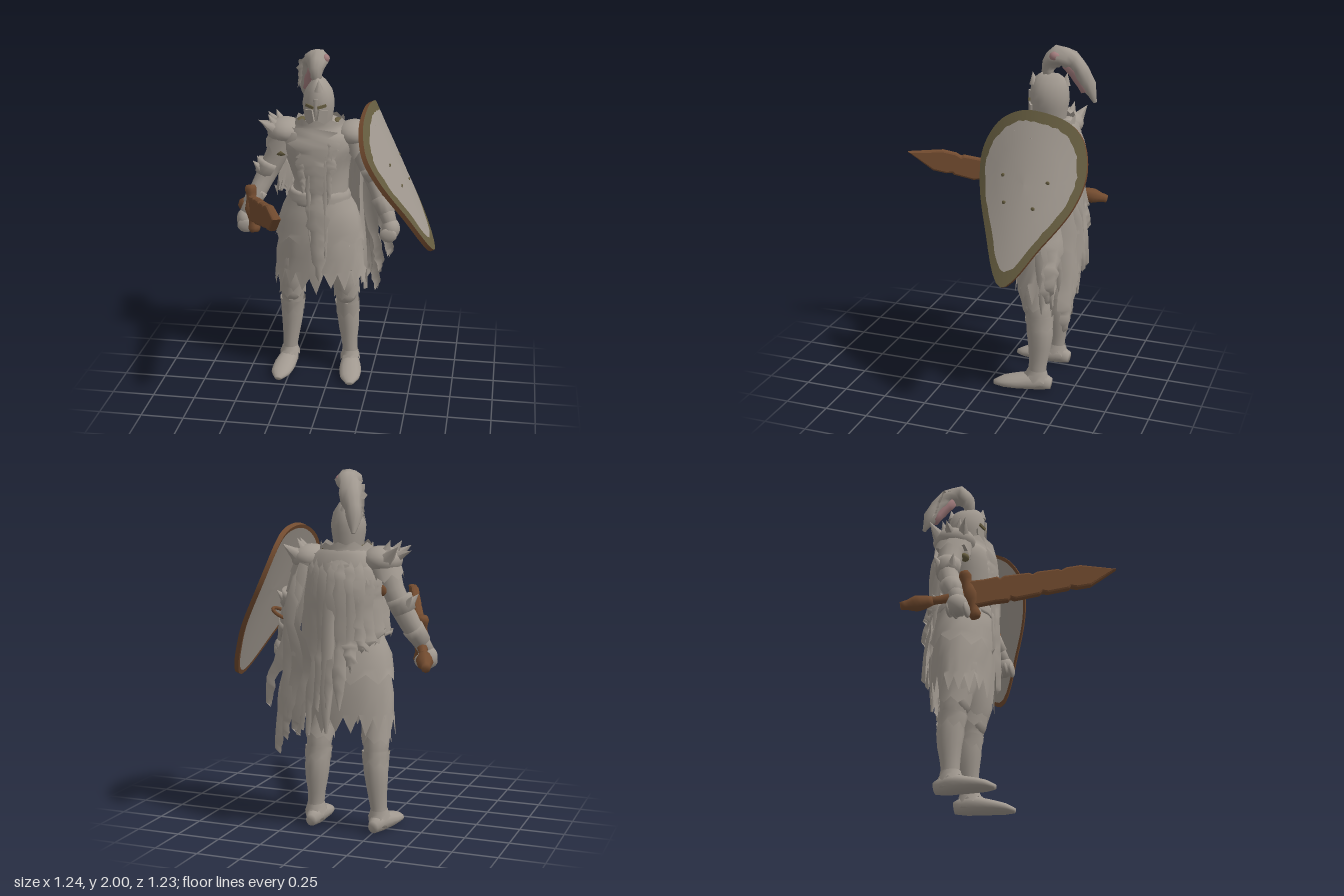
import * as THREE from 'three';

const V = (x, y, z) => new THREE.Vector3(x, y, z);
const CX = -0.08; // body axis

export function createModel() {
  const root = new THREE.Group();
  root.name = 'shieldKnight';
  const mat = (name, color) => new THREE.MeshStandardMaterial({ name, color, side: THREE.DoubleSide });
  const stone = mat('paleStone', 0xa19990), olive = mat('oldBrass', 0x665d40);
  const wood = mat('rustBrown', 0x724b2f), pink = mat('dustyPink', 0xa07b7c);

  let seed = 7;
  const rnd = () => (seed = (seed * 16807) % 2147483647) / 2147483647;

  function add(name, geo, material, parent = root) {
    const m = new THREE.Mesh(geo, material);
    m.name = name;
    parent.add(m);
    return m;
  }

  // Surface from rows x cols points; wrap closes each row into a ring
  function grid(rows, cols, fn, wrap) {
    const pos = [], idx = [];
    for (let i = 0; i < rows; i++) for (let j = 0; j < cols; j++) pos.push(...fn(i, j).toArray());
    for (let i = 0; i < rows - 1; i++) for (let j = 0; j < (wrap ? cols : cols - 1); j++) {
      const k = (j + 1) % cols, a = i * cols + j, b = i * cols + k;
      idx.push(a, b, b + cols, a, b + cols, a + cols);
    }
    const g = new THREE.BufferGeometry();
    g.setAttribute('position', new THREE.Float32BufferAttribute(pos, 3));
    g.setIndex(idx);
    g.computeVertexNormals();
    return g;
  }

  // Elliptical rings [x, y, z, rx, rz] swept along their centres
  function limb(pts, { n = 14, caps = true, hem = 0, rough = 0.06 } = {}) {
    const path = new THREE.CatmullRomCurve3(pts.map(p => V(p[0], p[1], p[2])));
    const radii = new THREE.CatmullRomCurve3(pts.map(p => V(p[3], p[4] ?? p[3], 0)));
    const steps = (pts.length - 1) * 2, rings = [];
    for (let i = 0; i <= steps; i++) {
      const c = path.getPoint(i / steps), r = radii.getPoint(i / steps), t = path.getTangent(i / steps);
      const u = V(1, 0, 0).addScaledVector(t, -t.x).normalize();
      rings.push({ c, u, v: t.clone().cross(u), rx: Math.max(r.x, 0.002), ry: Math.max(r.y, 0.002) });
    }
    if (caps) {
      rings.unshift({ ...rings[0], rx: 0, ry: 0 });
      rings.push({ ...rings[rings.length - 1], rx: 0, ry: 0 });
    }
    return grid(rings.length, n, (i, j) => {
      const R = rings[i], a = j / n * Math.PI * 2, k = 1 + (rnd() - 0.5) * rough;
      const p = R.c.clone().addScaledVector(R.u, Math.cos(a) * R.rx * k).addScaledVector(R.v, Math.sin(a) * R.ry * k);
      if (hem && i === rings.length - 1) p.y += (j % 2 ? 0.5 + 0.5 * rnd() : -rnd() * 0.5) * hem;
      return p;
    }, true);
  }

  // Ragged cloth strip through [x, y, z, width], facing angle th about y
  function ribbon(pts, th = 0, bulge = 0.02, steps = 16) {
    const path = new THREE.CatmullRomCurve3(pts.map(p => V(p[0], p[1], p[2])));
    const wid = new THREE.CatmullRomCurve3(pts.map(p => V(p[3], 0, 0)));
    return grid(steps + 1, 3, (i, j) => {
      const p = path.getPoint(i / steps), s = j - 1;
      const w = wid.getPoint(i / steps).x * (s ? 0.3 + rnd() * 0.35 : 0), b = s ? 0 : bulge;
      p.x += Math.cos(th) * s * w + Math.sin(th) * b;
      p.z += -Math.sin(th) * s * w + Math.cos(th) * b;
      if (s) p.y -= rnd() * 0.035;
      return p;
    });
  }

  function spike(name, at, dir, len, r) {
    const d = V(...dir).normalize();
    const m = add(name, new THREE.ConeGeometry(r, len, 6), stone);
    m.position.set(...at).addScaledVector(d, len / 2);
    m.quaternion.setFromUnitVectors(V(0, 1, 0), d);
  }
  function ball(name, at, scale, material = stone) {
    const m = add(name, new THREE.SphereGeometry(1, 14, 10), material);
    m.position.set(...at);
    m.scale.set(...scale);
  }

  // Torso and layered ragged skirt
  add('torso', limb([[CX, 0.95, -0.29, 0.19, 0.15], [CX, 1.1, -0.29, 0.175, 0.145], [CX + 0.01, 1.22, -0.29, 0.16, 0.14],
    [CX, 1.36, -0.29, 0.19, 0.16], [CX, 1.47, -0.3, 0.235, 0.17], [CX, 1.54, -0.31, 0.19, 0.145], [CX, 1.575, -0.3, 0.08, 0.08]], { n: 20 }), stone);
  add('skirt', limb([[CX, 1.14, -0.29, 0.18, 0.145], [CX, 0.95, -0.29, 0.235, 0.165], [CX, 0.78, -0.295, 0.262, 0.17],
    [CX + 0.005, 0.6, -0.295, 0.28, 0.17]], { n: 40, caps: false, hem: 0.1 }), stone);
  add('tassets', limb([[CX, 1.13, -0.29, 0.19, 0.155], [CX, 1.0, -0.29, 0.245, 0.175], [CX, 0.87, -0.295, 0.272, 0.185]],
    { n: 20, caps: false, hem: 0.05 }), stone);
  add('belt', limb([[CX, 1.1, -0.29, 0.19, 0.16], [CX, 1.14, -0.29, 0.188, 0.16], [CX, 1.18, -0.29, 0.17, 0.15]], { n: 20 }), stone);

  // Standing collar with a brass lining showing at one side
  add('collar', limb([[CX, 1.5, -0.3, 0.2, 0.165], [CX, 1.56, -0.3, 0.15, 0.14], [CX, 1.6, -0.3, 0.142, 0.135]],
    { n: 20, caps: false, rough: 0.03, hem: 0.02 }), stone);
  ball('collarLining', [-0.19, 1.585, -0.29], [0.024, 0.016, 0.07], olive);
  ball('collarLining', [0.015, 1.575, -0.36], [0.02, 0.014, 0.045], olive);

  // Torn tabard on the chest
  add('tabard', ribbon([[-0.095, 1.58, -0.15, 0.24], [-0.09, 1.45, -0.12, 0.24], [-0.075, 1.32, -0.118, 0.18], [-0.07, 1.2, -0.118, 0.12],
    [-0.07, 1.05, -0.11, 0.12], [-0.06, 0.85, -0.105, 0.1], [-0.055, 0.66, -0.105, 0.01]], 0, 0.025, 26), stone);
  for (const [x, y, w] of [[-0.15, 1.2, 0.08], [0.0, 1.15, 0.08], [-0.11, 0.9, 0.06], [-0.02, 0.8, 0.06]])
    add('tabardTatter', ribbon([[x * 0.8, 1.5, -0.14, w * 1.3], [x, 1.35, -0.125, w], [x, y, -0.12, 0.01]]), stone);

  // Torn cloak on the back: long on the shield side, short on the sword side
  for (let k = 0; k <= 11; k++) {
    const th = Math.PI - 1.35 + k * 0.245, s = Math.sin(th), c = Math.cos(th);
    const end = k < 7 ? 0.6 + k * 0.015 + (rnd() - 0.5) * 0.2 : 1.0 + (k - 7) * 0.05 + (rnd() - 0.5) * 0.12;
    const at = (y, r, w) => [CX + s * (0.2 + r), y, -0.3 + c * (0.14 + r), w];
    add('cloakTatter', ribbon([at(1.55, -0.02, 0.1), at(1.42, 0.03, 0.12), at(Math.max(1.1, end + 0.15), 0.035, 0.11),
      at((1.1 + end) / 2, 0.06, 0.08), at(end, 0.07, 0.01)], th, 0.025), stone);
  }
  // Bunched roll of cloth down the middle of the back
  add('cloakRoll', limb([[-0.06, 1.5, -0.43, 0.07, 0.04], [-0.05, 1.3, -0.46, 0.05, 0.035], [-0.04, 1.05, -0.475, 0.045, 0.035],
    [-0.03, 0.8, -0.485, 0.04, 0.03], [-0.03, 0.58, -0.49, 0.008]], { n: 8, rough: 0.3 }), stone);
  for (const [x, z, y] of [[0.24, -0.5, 0.48], [0.32, -0.44, 0.72], [0.19, -0.51, 0.56], [0.27, -0.4, 0.64], [0.14, -0.5, 0.6]])
    add('trailingTatter', ribbon([[0.13, 1.5, -0.4, 0.1], [0.18, 1.25, z + 0.02, 0.14], [x - 0.06, 0.98, z, 0.13], [x - 0.01, y + 0.16, z, 0.1],
      [x, y + 0.06, z, 0.07], [x, y, z, 0.012]], 2.5, 0.03), stone);

  // Helm with crest points, eye slits and nose guard
  const hx = -0.085;
  add('helm', limb([[hx, 1.54, -0.29, 0.07, 0.085], [hx, 1.62, -0.29, 0.083, 0.1], [hx, 1.7, -0.29, 0.094, 0.112],
    [hx, 1.77, -0.29, 0.078, 0.106], [hx, 1.82, -0.29, 0.043, 0.085], [hx, 1.845, -0.29, 0.01, 0.05]], { n: 18, rough: 0.02 }), stone);
  for (const s of [-1, 1]) {
    const eye = add('eyeSlit', new THREE.BoxGeometry(0.052, 0.016, 0.0095), olive);
    eye.position.set(hx + s * 0.036, 1.695, -0.182);
    eye.rotation.set(0, s * 0.4, s * 0.25);
    const cheek = add('cheekPlate', new THREE.BoxGeometry(0.055, 0.11, 0.012), stone);
    cheek.position.set(hx + s * 0.034, 1.62, -0.192);
    cheek.rotation.set(0.1, s * 0.5, s * -0.2);
    spike('helmCrestPoint', [hx + s * 0.015, 1.78, -0.29 + s * 0.085], [0, 1, s * 0.15], 0.07, 0.03);
  }
  spike('noseGuard', [hx, 1.74, -0.18], [0, -1, 0.08], 0.14, 0.016);
  const mouth = add('mouthSlit', new THREE.BoxGeometry(0.03, 0.03, 0.009), olive);
  mouth.position.set(hx, 1.58, -0.184);

  // Plume arching back, with dusty patches
  const plume = [[-0.09, 1.81, -0.28, 0.022], [-0.1, 1.89, -0.275, 0.042], [-0.1, 1.94, -0.33, 0.068, 0.058], [-0.13, 1.915, -0.4, 0.06, 0.05],
    [-0.165, 1.84, -0.45, 0.055, 0.042], [-0.19, 1.76, -0.485, 0.045, 0.038], [-0.2, 1.67, -0.52, 0.01]];
  add('plume', limb(plume, { n: 12, rough: 0.35 }), stone);
  add('plumeUnderside', limb(plume.slice(3, 6).map(p => [p[0] + 0.01, p[1] - 0.022, p[2] + 0.018, p[3] * 0.68]), { n: 8, rough: 0.2 }), pink);
  ball('plumeTuft', [-0.05, 1.945, -0.325], [0.024, 0.026, 0.03], pink);
  add('plumeStrand', ribbon([[-0.13, 1.96, -0.38, 0.07], [-0.2, 1.91, -0.42, 0.06], [-0.215, 1.82, -0.45, 0.05], [-0.235, 1.76, -0.46, 0.01]], 0.5), stone);

  // Legs, knee guards and feet
  for (const s of [-1, 1]) {
    const X = d => CX + s * d;
    add('leg', limb([[X(0.14), 0.85, -0.28, 0.085, 0.11], [X(0.16), 0.62, -0.27, 0.08, 0.1], [X(0.168), 0.5, -0.295, 0.072, 0.08], [X(0.17), 0.44, -0.3, 0.066, 0.074],
      [X(0.175), 0.35, -0.31, 0.068, 0.076], [X(0.183), 0.2, -0.305, 0.05, 0.056], [X(0.19), 0.1, -0.3, 0.044, 0.05], [X(0.19), 0.03, -0.31, 0.05, 0.06]]), stone);
    ball('kneeGuard', [X(0.168), 0.53, -0.25], [0.066, 0.075, 0.05]);
    spike('greaveRidge', [X(0.172), 0.47, -0.245], [s * 0.05, -1, -0.12], 0.32, 0.028);
    add('thighPlate', limb([[X(0.162), 0.64, -0.275, 0.078, 0.098], [X(0.168), 0.51, -0.29, 0.083, 0.092]], { caps: false, hem: 0.035 }), stone);
    add('greaveTop', limb([[X(0.17), 0.46, -0.3, 0.077, 0.083], [X(0.173), 0.38, -0.308, 0.072, 0.079]], { caps: false, hem: 0.03 }), stone);
    add('anklePlate', limb([[X(0.19), 0.13, -0.3, 0.048, 0.056], [X(0.19), 0.07, -0.295, 0.062, 0.073]], { caps: false, hem: 0.03 }), stone);
    add('foot', limb([[X(0.185), 0.045, -0.385, 0.03, 0.035], [X(0.19), 0.055, -0.31, 0.052, 0.055], [X(0.205), 0.043, -0.19, 0.068, 0.043],
      [X(0.215), 0.03, -0.1, 0.058, 0.03], [X(0.22), 0.017, -0.045, 0.022, 0.014]], { rough: 0 }), stone);

    // Spiked shoulder guard
    ball('shoulderGuard', [X(0.205), 1.515, -0.305], [0.11, 0.08, 0.125]);
    add('shoulderPlate', limb([[X(0.2), 1.52, -0.305, 0.09, 0.11], [X(0.235), 1.4, -0.305, 0.092, 0.11]], { caps: false, hem: 0.04 }), stone);
    for (const [dx, dz, up] of [[0.07, -0.09, 0.9], [0.085, 0, 0.4], [0.07, 0.08, 0.8], [0.03, -0.05, 2.2], [0.05, 0.05, 1.6]])
      spike('shoulderSpike', [X(0.2 + dx * 0.8), 1.53, -0.305 + dz * 0.8], [s, up, dz * 6], 0.11, 0.042);
  }
  ball('armStrap', [-0.3, 1.4, -0.235], [0.035, 0.022, 0.025], olive);
  ball('armStrap', [-0.31, 1.36, -0.375], [0.025, 0.03, 0.015], wood);

  // Arms: sword arm, then shield arm
  const arms = [
    [[-0.3, 1.5, -0.31, 0.075], [-0.345, 1.36, -0.31, 0.066], [-0.4, 1.25, -0.3, 0.06], [-0.46, 1.12, -0.25, 0.052], [-0.51, 1.02, -0.21, 0.042]],
    [[0.14, 1.5, -0.31, 0.075], [0.195, 1.36, -0.31, 0.066], [0.25, 1.25, -0.28, 0.06], [0.31, 1.12, -0.22, 0.052], [0.355, 1.02, -0.17, 0.042]]];
  arms.forEach((a, i) => {
    const s = i ? 1 : -1, [ex, ey, ez] = a[2], [wx, wy, wz] = a[4];
    add('arm', limb(a), stone);
    add('elbowGuard', limb([[ex - s * 0.02, ey + 0.07, ez - 0.01, 0.076], [ex + s * 0.012, ey - 0.01, ez, 0.064]], { hem: 0.03 }), stone);
    for (const d of [-0.5, 0.4]) spike('elbowSpike', [ex + s * 0.03, ey + 0.03, ez + d * 0.07], [s * 0.8, 1, d], 0.075, 0.03);
    add('bracer', limb([[wx - s * 0.06, wy + 0.13, wz - 0.06, 0.062], [wx - s * 0.02, wy + 0.05, wz - 0.02, 0.05]], { hem: 0.02 }), stone);
    ball('hand', [wx + s * 0.005, wy - 0.035, wz], [0.055, 0.065, 0.062]);
    for (let f = 0; f < 4; f++) ball('finger', [wx - s * 0.005, wy - 0.05 - (f % 2) * 0.012, wz - 0.045 + f * 0.032], [0.052, 0.042, 0.017]);
  });

  // Sword: local +z runs to the tip, local y is the width of the blade
  const sword = new THREE.Group();
  sword.name = 'sword';
  const d = V(0.3, 0.205, 0.765).normalize(), sx = V(-0.12, 0.97, -0.2).cross(d).normalize();
  sword.quaternion.setFromRotationMatrix(new THREE.Matrix4().makeBasis(sx, d.clone().cross(sx), d));
  sword.position.set(-0.46, 1.07, -0.155);
  root.add(sword);
  const blade = new THREE.Shape();
  blade.moveTo(0, -0.075);
  const edge = [[0.12, 0.07], [0.2, 0.074], [0.215, 0.06], [0.24, 0.072], [0.38, 0.067], [0.4, 0.055], [0.43, 0.066], [0.55, 0.062], [0.565, 0.052], [0.6, 0.064], [0.68, 0.064]];
  edge.forEach(([x, y]) => blade.lineTo(x, -y));
  blade.lineTo(0.845, 0.008);
  edge.slice().reverse().forEach(([x, y]) => blade.lineTo(x - 0.03, y));
  blade.lineTo(0, 0.075);
  const bladeGeo = new THREE.ExtrudeGeometry(blade, { depth: 0.018, bevelEnabled: true, bevelThickness: 0.015, bevelSize: 0.012, bevelOffset: -0.008, bevelSegments: 2 });
  bladeGeo.translate(0, 0, -0.009).rotateY(-Math.PI / 2);
  add('blade', bladeGeo, wood, sword);
  add('crossGuard', limb([[0, -0.14, 0, 0.026], [0, -0.115, 0, 0.036], [0, -0.07, 0, 0.028], [0, 0, 0, 0.046, 0.045], [0, 0.07, 0, 0.028], [0, 0.115, 0, 0.036], [0, 0.14, 0, 0.026]], { n: 8 }), wood, sword);
  add('grip', limb([[0, 0, 0.02, 0.03], [0, 0, -0.12, 0.028], [0, 0, -0.24, 0.028]], { n: 8 }), wood, sword);
  add('pommel', limb([[0, 0, -0.21, 0.027], [0, 0, -0.26, 0.042], [0, 0, -0.3, 0.046], [0, 0, -0.345, 0.03], [0, 0, -0.385, 0.024]], { n: 8 }), wood, sword);

  // Shield: teardrop outline in (z, y), bent around a tilted axis
  const outline = new THREE.CatmullRomCurve3([[-0.31, 1.705], [-0.2, 1.69], [-0.09, 1.62], [-0.01, 1.47], [-0.02, 1.31], [-0.1, 1.1], [-0.25, 0.835],
    [-0.44, 1.05], [-0.575, 1.24], [-0.618, 1.4], [-0.58, 1.57], [-0.49, 1.66]].map(([z, y]) => V(0, y, z)), true);
  const N = 72, inner = 0.855, mid = V(0, 1.34, -0.3);
  const rimWobble = Array.from({ length: N }, () => (rnd() - 0.5) * 0.03);
  const bend = (p, depth) => {
    const q = p.z + 0.3;
    return V(0.225 + (1.7 - p.y) * 0.46 - 0.9 * q * q - 0.1 * q - depth * 0.9, p.y - depth * 0.4, p.z);
  };
  const shieldPoint = (s, j, depth) => bend(mid.clone().lerp(outline.getPoint(j / N), s), depth);
  const shieldRings = (name, radii, depth, material) =>
    add(name, grid(radii.length, N, (i, j) => shieldPoint(radii[i] + (radii[i] === inner ? rimWobble[j] : 0), j, depth), true), material);
  shieldRings('shieldFace', [0, 0.2, 0.4, 0.6, inner], 0, stone);
  shieldRings('shieldRim', [inner, 0.93, 1], 0, olive);
  shieldRings('shieldBack', [0.95, 0.7, 0.45, 0.2, 0], 0.028, stone);
  shieldRings('shieldBackRim', [1, 0.95], 0.028, wood);
  add('shieldEdge', grid(2, N, (i, j) => shieldPoint(1, j, i * 0.028), true), wood);
  for (const [z, y] of [[-0.17, 1.37], [-0.43, 1.36], [-0.2, 1.24], [-0.37, 1.23]])
    ball('shieldRivet', bend(V(0, y, z), 0).toArray(), [0.005, 0.011, 0.011], olive);
  const strap = add('shieldStrap', new THREE.TorusGeometry(0.06, 0.01, 6, 16), wood);
  strap.position.set(0.33, 1.19, -0.25);
  strap.rotation.set(Math.PI / 2, 0.5, 0);

  return root;
}
